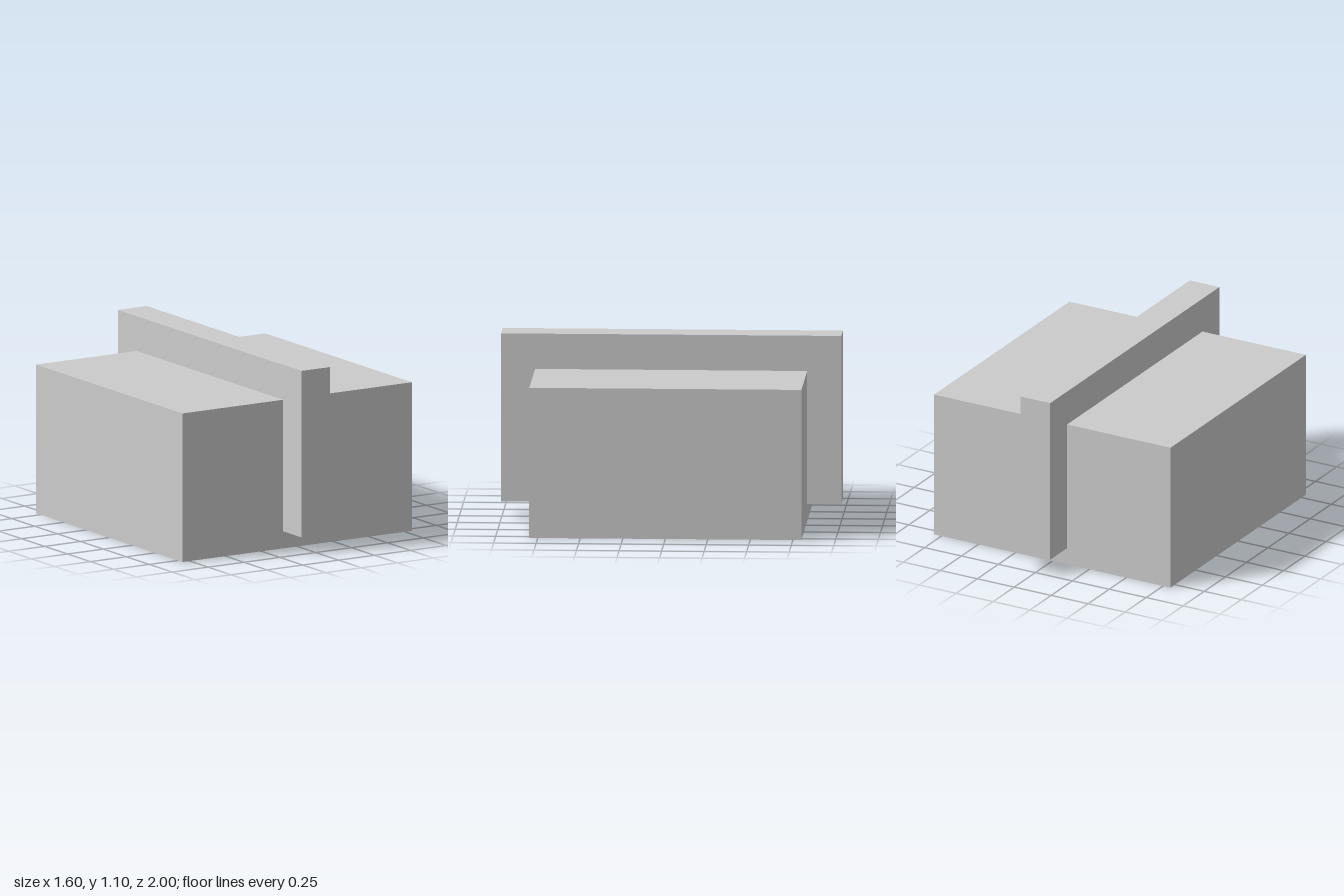
import * as THREE from 'three';

const grey = new THREE.MeshStandardMaterial({ color: 0xcccccc, flatShading: true });

// Box resting with its underside at the given height
function block(name, width, height, depth, bottom) {
  const mesh = new THREE.Mesh(new THREE.BoxGeometry(width, height, depth), grey);
  mesh.name = name;
  mesh.position.y = bottom + height / 2;
  return mesh;
}

export function createModel() {
  const model = new THREE.Group();
  model.name = 'bandedBox';
  // Main body
  model.add(block('body', 1.6, 0.893, 1.6, 0));
  // Upright slab running front to back through the body
  model.add(block('centreBand', 0.2, 1.0, 2.0, 0.103));
  return model;
}
